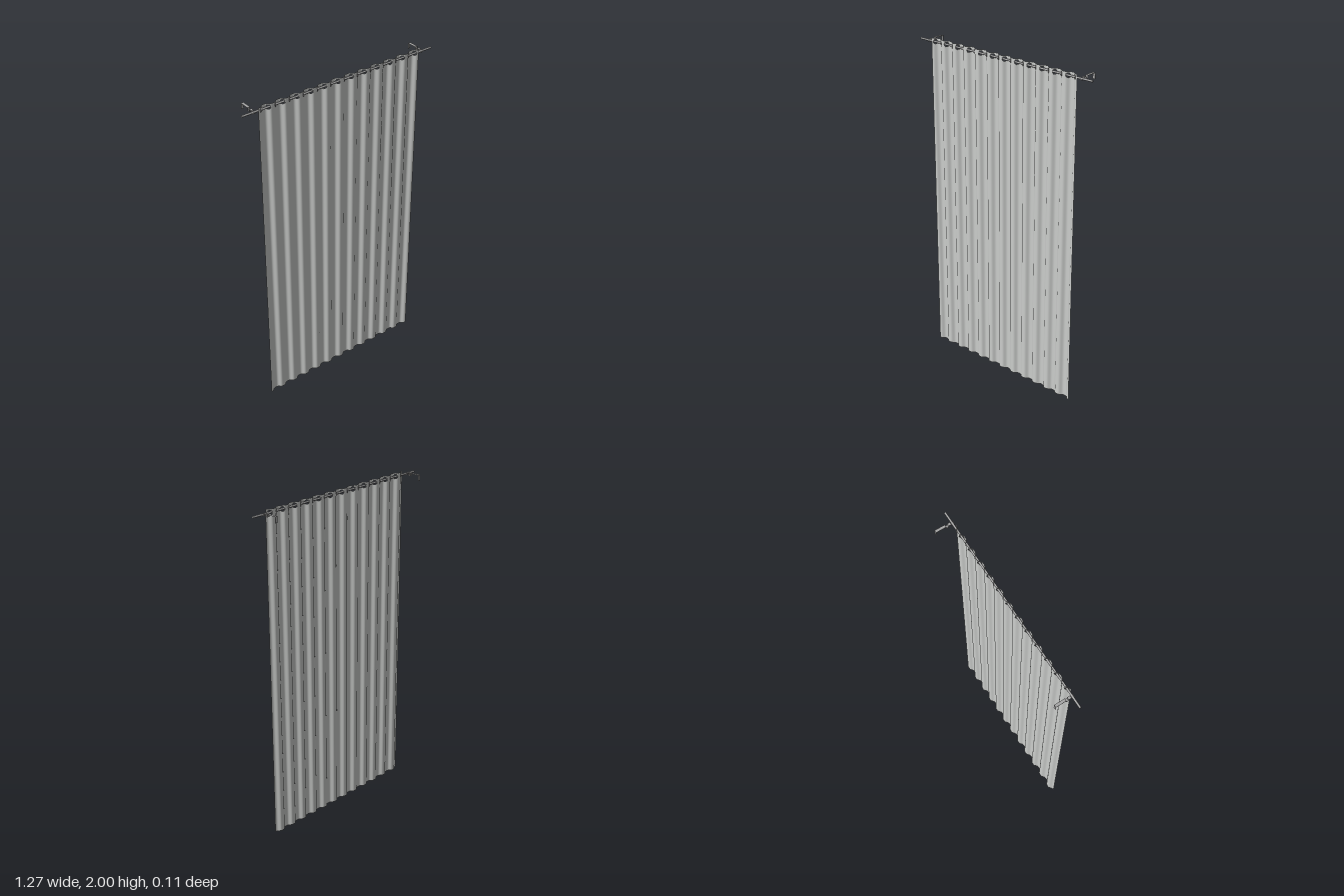
import * as THREE from 'three';

const fabric = new THREE.MeshStandardMaterial({ color: 0xcccecc, side: THREE.DoubleSide });
fabric.name = 'light grey fabric';
const metal = new THREE.MeshStandardMaterial({ color: 0xa6a6a6 });
metal.name = 'grey metal';

const HALF = 0.54, PITCH = 0.09, PANELS = 24, AMP = 0.009;
const ROD_Y = 1.98, ROD_Z = 0.044, BAND = 0.02;
const HOLE_X = 0.0095, HOLE_Y = 0.0135;

// Fold profile: a wave with flattened crests
const wave = (x) => ROD_Z - AMP * Math.sin((Math.PI / 2) * Math.cos((2 * Math.PI * (x + 0.495)) / PITCH));
const slope = (x) => (wave(x + 1e-4) - wave(x - 1e-4)) / 2e-4;

// Sheet through a grid of flat points, draped onto the fold profile
function drape(rows, cols, pointAt) {
  const pos = [], nor = [], idx = [];
  for (let i = 0; i <= rows; i++) {
    for (let j = 0; j <= cols; j++) {
      const [x, y] = pointAt(i / rows, j / cols);
      const s = slope(x), l = Math.hypot(s, 1);
      pos.push(x, y, wave(x));
      nor.push(-s / l, 0, 1 / l);
      if (i < rows && j < cols) {
        const a = i * (cols + 1) + j, b = a + cols + 1;
        idx.push(a, b, b + 1, a, b + 1, a + 1);
      }
    }
  }
  const g = new THREE.BufferGeometry();
  g.setAttribute('position', new THREE.Float32BufferAttribute(pos, 3));
  g.setAttribute('normal', new THREE.Float32BufferAttribute(nor, 3));
  g.setIndex(idx);
  return g;
}

// Point on the outline of a unit square, counter-clockwise from lower right
function squarePoint(t) {
  const s = (t % 1) * 4, k = Math.floor(s), f = 2 * (s - k) - 1;
  return [[1, f], [-f, 1], [-1, -f], [f, -1]][k];
}

function add(parent, name, geometry, material) {
  const mesh = new THREE.Mesh(geometry, material);
  mesh.name = name;
  parent.add(mesh);
  return mesh;
}

// Bent metal strip with a cup under the rod, drawn in (z, y)
function bracketGeometry() {
  const path = [[-0.058, 1.956], [-0.058, 1.99], [0.003, 1.99], [0.003, 1.975],
    [0.018, 1.975], [0.018, 1.987], [0.034, 1.987]];
  for (let i = 0; i <= 8; i++) {
    const a = Math.PI + (Math.PI * i) / 8;
    path.push([ROD_Z + 0.008 * Math.cos(a), ROD_Y + 0.008 * Math.sin(a)]);
  }
  const t = 0.001;
  const side = (sign) => path.map((p, i) => {
    const q = path[Math.max(i - 1, 0)], r = path[Math.min(i + 1, path.length - 1)];
    const dx = r[0] - q[0], dy = r[1] - q[1], l = Math.hypot(dx, dy);
    return new THREE.Vector2(p[0] - (sign * t * dy) / l, p[1] + (sign * t * dx) / l);
  });
  const shape = new THREE.Shape([...side(-1), ...side(1).reverse()]);
  const g = new THREE.ExtrudeGeometry(shape, { depth: 0.016, bevelEnabled: false });
  g.translate(0, 0, -0.008);
  g.rotateY(-Math.PI / 2); // drawn x becomes z
  return g;
}

export function createModel() {
  const model = new THREE.Group();
  model.name = 'eyeletCurtain';

  // Folded cloth below the eyelet band
  const curtain = new THREE.Group();
  curtain.name = 'curtain';
  model.add(curtain);
  add(curtain, 'curtainCloth', drape(PANELS * 10, 1, (u, v) =>
    [-HALF + 2 * HALF * u, (1 - v) * (ROD_Y - BAND)]).scale(1, 1, 1), fabric);
  // The rows run along x and columns run down, so the front faces +z
  const cloth = curtain.children[0].geometry;
  const order = cloth.index.array;
  const p = cloth.attributes.position;
  const [a, b, c] = [0, 1, 2].map((k) => new THREE.Vector3().fromBufferAttribute(p, order[k]));
  if (b.sub(a).cross(c.sub(a)).z < 0) {
    for (let i = 0; i < order.length; i += 3) [order[i], order[i + 1]] = [order[i + 1], order[i]];
  }

  // Eyelet band: each slope of the folds has a hole with a ring
  const width = (2 * HALF) / PANELS;
  for (let k = 0; k < PANELS; k++) {
    const cx = -HALF + width * (k + 0.5);
    add(curtain, 'eyeletPanel', drape(6, 40, (u, v) => {
      const [sx, sy] = squarePoint(v);
      const l = Math.hypot(sx, sy);
      return [
        cx + THREE.MathUtils.lerp((HOLE_X * sx) / l, (sx * width) / 2, u),
        ROD_Y + THREE.MathUtils.lerp((HOLE_Y * sy) / l, sy * BAND, u),
      ];
    }), fabric);
    const ring = add(curtain, 'eyeletRing', new THREE.TorusGeometry(HOLE_Y, 0.0014, 8, 32), metal);
    ring.position.set(cx, ROD_Y, ROD_Z);
    ring.rotation.y = -Math.atan(slope(cx));
  }

  // Rod
  const rod = add(model, 'rod', new THREE.CylinderGeometry(0.0058, 0.0058, 1.274, 24), metal);
  rod.rotation.z = Math.PI / 2;
  rod.position.set(0, ROD_Y, ROD_Z);

  // Wall brackets
  const bracket = bracketGeometry();
  for (const s of [-1, 1]) {
    add(model, s > 0 ? 'leftBracket' : 'rightBracket', bracket, metal).position.x = s * 0.565;
  }
  return model;
}
